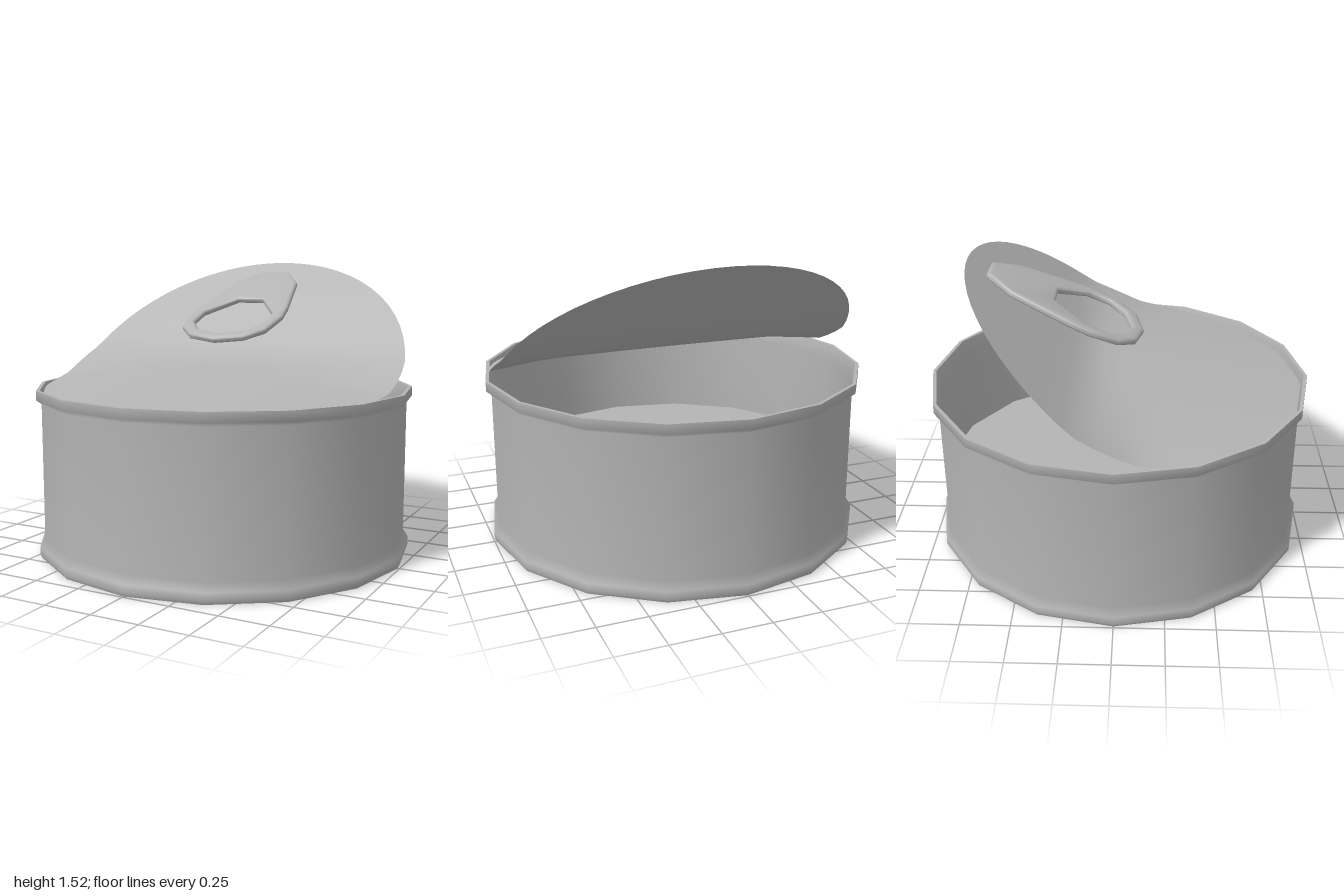
import * as THREE from 'three';
import { toCreasedNormals } from 'three/addons/utils/BufferGeometryUtils.js';

const SIDES = 16;
const LID_RADIUS = 0.965;
const v2 = ([x, y]) => new THREE.Vector2(x, y);

export function createModel() {
  const group = new THREE.Group();
  group.name = 'openedTin';
  const tin = new THREE.MeshStandardMaterial({ color: 0xb4b4b4 });
  tin.name = 'tin';
  const sheet = new THREE.MeshStandardMaterial({ color: 0xb4b4b4, side: THREE.DoubleSide });
  sheet.name = 'tinSheet';

  const add = (name, geometry, material = tin) => {
    const mesh = new THREE.Mesh(geometry, material);
    mesh.name = name;
    group.add(mesh);
    return mesh;
  };
  const lathe = (name, points) => add(name, new THREE.LatheGeometry(points.map(v2), SIDES));

  // Can: outer wall with flared rims, lip, inner wall, floor and base
  lathe('outerWall', [[0.99, 0], [1, 0.02], [1, 0.06], [0.973, 0.1], [0.973, 0.81], [1, 0.83], [1, 0.88]]);
  lathe('lip', [[1, 0.88], [0.982, 0.88]]);
  lathe('innerWall', [[0.982, 0.88], [0.96, 0.8], [0.96, 0.33]]);
  lathe('innerFloor', [[0.96, 0.33], [0, 0.33]]);
  lathe('base', [[0, 0], [0.99, 0]]);

  // Lid: a disc folded upward along a soft crease, sides of the front half drooping
  const front = LID_RADIUS;
  const profile = new THREE.CurvePath();
  const crease = [new THREE.Vector2(-0.07, 0.993), new THREE.Vector2(-0.15, 1.005), new THREE.Vector2(-0.23, 1.075)];
  profile.add(new THREE.LineCurve(new THREE.Vector2(front, 0.835), crease[0]));
  profile.add(new THREE.QuadraticBezierCurve(...crease));
  profile.add(new THREE.LineCurve(crease[2], new THREE.Vector2(-0.765, 1.525)));
  const lid = new THREE.PlaneGeometry(2, 2, 16, 32);
  const pos = lid.attributes.position;
  for (let i = 0; i < pos.count; i++) {
    const angle = Math.PI * (1 - pos.getY(i)) / 2;
    const x = pos.getX(i) * LID_RADIUS * Math.sin(angle);
    const p = profile.getPoint((1 + Math.cos(angle)) / 2);
    const droop = 0.075 * x * x * THREE.MathUtils.smoothstep(p.x, -0.15, 0.15);
    pos.setXYZ(i, x, p.y - droop, p.x);
  }
  lid.computeVertexNormals();
  add('foldedLid', lid, sheet);

  // Pull tab: teardrop plate with a finger hole, tilted along the raised lid
  const half = [[0, 0], [0.16, 0.04], [0.25, 0.13], [0.28, 0.29], [0.265, 0.4], [0.19, 0.72], [0.08, 0.86]];
  const halfHole = [[0, 0.07], [0.14, 0.11], [0.21, 0.2], [0.205, 0.32], [0.075, 0.49]];
  const mirror = (pts) => [...pts, ...pts.slice(1).reverse().map(([x, y]) => [-x, y])].map(v2);
  const outline = new THREE.Shape(mirror(half));
  outline.holes.push(new THREE.Path(mirror(halfHole)));
  const tabGeometry = new THREE.ExtrudeGeometry(outline, {
    depth: 0.008, bevelThickness: 0.015, bevelSize: 0.022, bevelOffset: -0.022, bevelSegments: 3,
  });
  const tab = add('pullTab', toCreasedNormals(tabGeometry, 0.9));
  tab.rotation.x = -Math.PI / 2 + 0.407;
  tab.position.set(0, 1.115, 0.125);

  return group;
}
